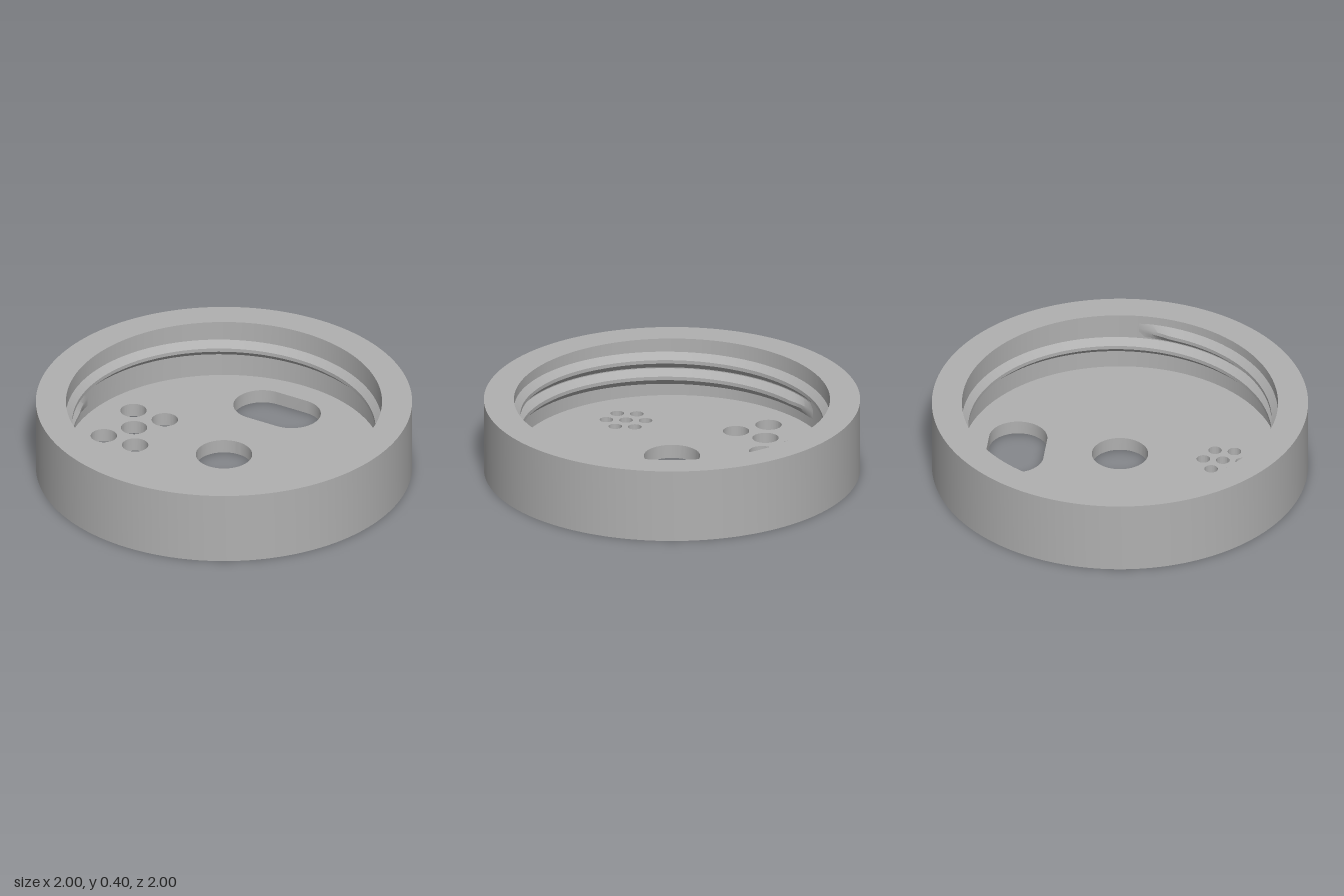
import * as THREE from 'three';
import { toCreasedNormals } from 'three/addons/utils/BufferGeometryUtils.js';

const HEIGHT = 0.4, FLOOR = 0.075, POCKET = 0.04, INNER = 0.84;

// Outlines drawn in the plan, as (x, z)
const circle = (x, z, r, divisions = 32) => {
  const s = new THREE.Shape().absarc(x, z, r, 0, Math.PI * 2, false);
  return new THREE.Shape(s.getPoints(divisions).slice(0, -1));
};
const slot = (x, z, half, r) => {
  const s = new THREE.Shape();
  s.absarc(x + half, z, r, -Math.PI / 2, Math.PI / 2, false);
  s.absarc(x - half, z, r, Math.PI / 2, Math.PI * 1.5, false);
  return new THREE.Shape(s.getPoints(20));
};
const plus = (x, z, a, w) => new THREE.Shape(
  [[a, -w], [a, w], [w, w], [w, a], [-w, a], [-w, w], [-a, w], [-a, -w], [-w, -w], [-w, -a], [w, -a], [w, -w]]
    .map(([px, pz]) => new THREE.Vector2(x + px, z + pz)));

// Flat horizontal face with holes, facing up or down
function plate(outline, holes, y, up) {
  const shape = outline.clone();
  shape.holes = holes;
  const g = new THREE.ShapeGeometry(shape).rotateX(Math.PI / 2).translate(0, y, 0);
  if (up) {
    const index = g.index.array;
    for (let i = 0; i < index.length; i += 3) [index[i], index[i + 1]] = [index[i + 1], index[i]];
    g.computeVertexNormals();
  }
  return g;
}

// Vertical wall along an outline, facing inwards or outwards
function wall(outline, y0, y1, outward = false) {
  const pts = outline.getPoints();
  if (pts[0].distanceTo(pts[pts.length - 1]) < 1e-6) pts.pop();
  const pos = [], index = [], n = pts.length;
  pts.forEach((p, i) => {
    pos.push(p.x, y0, p.y, p.x, y1, p.y);
    const a = 2 * i, b = 2 * ((i + 1) % n);
    if (outward) index.push(a, b + 1, b, a, a + 1, b + 1);
    else index.push(a, b, b + 1, a, b + 1, a + 1);
  });
  return finish(pos, index);
}

function finish(pos, index) {
  const g = new THREE.BufferGeometry();
  g.setAttribute('position', new THREE.Float32BufferAttribute(pos, 3));
  g.setIndex(index);
  return toCreasedNormals(g, 0.5);
}

// Helical ridge: one and a half turns, fading into the wall at both ends
function threadGeometry() {
  const steps = 216, turns = 1.5, pitch = 0.095, top = 0.31, root = INNER + 0.001, depth = 0.035;
  const pos = [], index = [];
  for (let i = 0; i <= steps; i++) {
    const t = i / steps, a = t * turns * Math.PI * 2;
    const y = top - pitch * turns * t;
    const crest = root - depth * Math.min(1, Math.min(t, 1 - t) * 42);
    for (const [r, dy] of [[root, 0.046], [crest, 0.01], [crest, -0.01], [root, -0.046]])
      pos.push(Math.cos(a) * r, y + dy, Math.sin(a) * r);
    if (i < steps) for (let j = 0; j < 3; j++) {
      const p = 4 * i + j, q = p + 4;
      index.push(p, p + 1, q + 1, p, q + 1, q);
    }
  }
  return finish(pos, index);
}

export function createModel() {
  const model = new THREE.Group();
  const grey = new THREE.MeshStandardMaterial({ color: 0xb0b0b0 });
  grey.name = 'plain grey';
  const add = (name, geometry) => {
    const mesh = new THREE.Mesh(geometry, grey);
    mesh.name = name;
    model.add(mesh);
  };

  // Openings right through the floor
  const through = [circle(0, 0, 0.15, 48), slot(0, -0.555, 0.09, 0.155), circle(-0.555, 0, 0.07)];
  for (const x of [-0.65, -0.457]) for (const z of [-0.155, 0.155]) through.push(circle(x, z, 0.07));
  through.push(circle(0, 0.55, 0.036));
  for (let i = 0; i < 6; i++) {
    const a = Math.PI / 2 + i * Math.PI / 3;
    through.push(circle(Math.cos(a) * 0.104, 0.55 + Math.sin(a) * 0.104, 0.036));
  }

  // Shallow pockets in the underside: four round recesses and the edge marks
  const pockets = [plus(0.93, 0, 0.055, 0.018), slot(0, -0.93, 0.04, 0.02)];
  for (const x of [-0.55, 0.55]) for (const z of [-0.55, 0.55]) pockets.push(circle(x, z, 0.055));
  for (const x of [-0.06, 0, 0.06]) pockets.push(circle(x, 0.93, 0.019, 20));
  for (const z of [-0.042, 0.042]) pockets.push(circle(-0.93, z, 0.03, 24));

  // Cup body
  const outer = circle(0, 0, 1, 128), inner = circle(0, 0, INNER, 128);
  add('outerWall', wall(outer, 0, HEIGHT, true));
  add('innerWall', wall(inner, FLOOR, HEIGHT));
  add('rim', plate(outer, [inner], HEIGHT, true));
  add('floor', plate(inner, through, FLOOR, true));
  add('underside', plate(outer, [...through, ...pockets], 0, false));

  // Sides of the openings, sides and ends of the pockets
  for (const hole of through) add('holeWall', wall(hole, 0, FLOOR));
  for (const pocket of pockets) {
    add('pocketWall', wall(pocket, 0, POCKET));
    add('pocketEnd', plate(pocket, [], POCKET, false));
  }

  add('screwThread', threadGeometry());
  return model;
}
